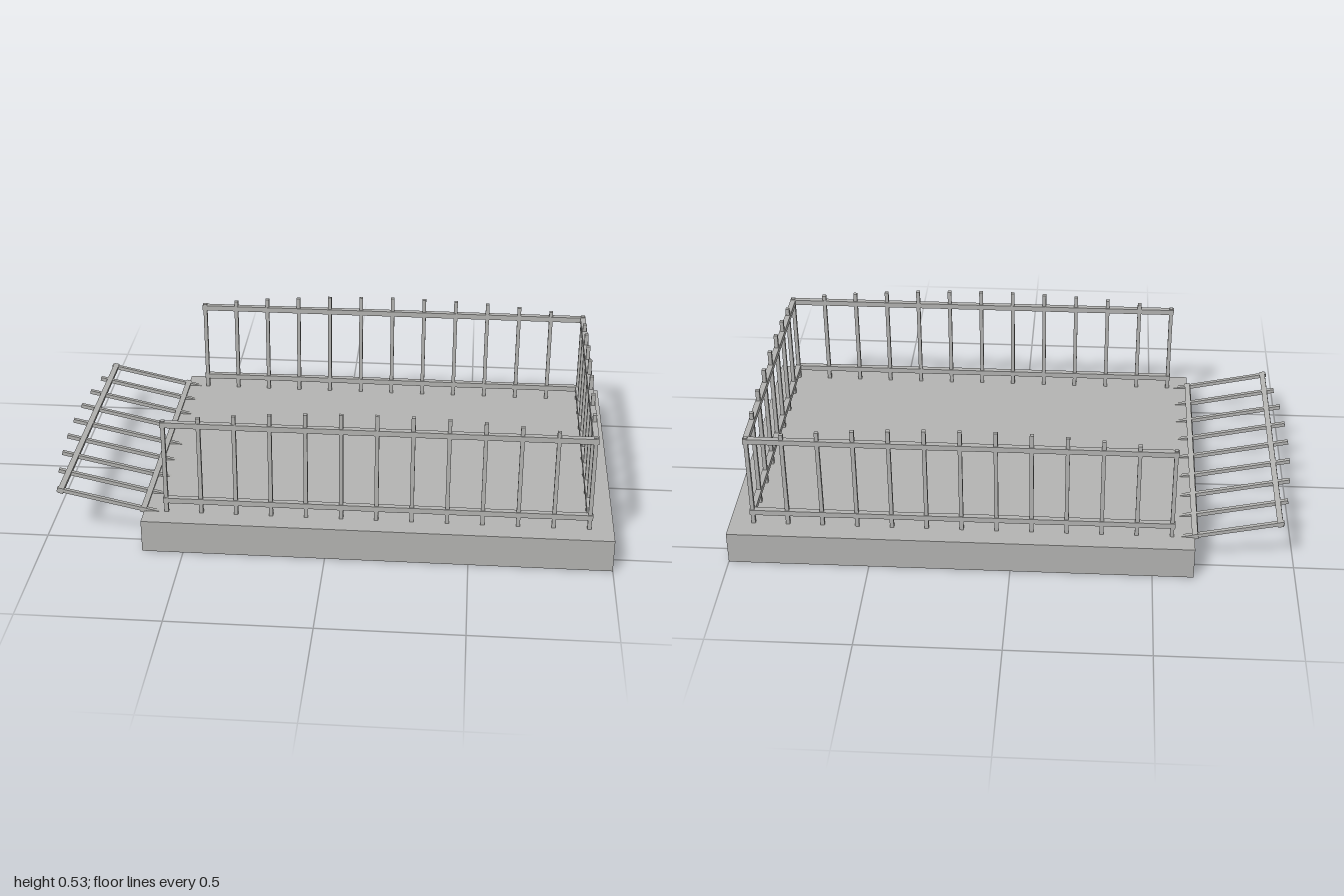
import * as THREE from 'three';

const concrete = new THREE.MeshStandardMaterial({ color: 0xb4b4b2, side: THREE.DoubleSide });
concrete.name = 'light grey';

const DECK = 0.12;     // height of the deck
const BAR = 0.014;     // bar thickness
const RAIL = 0.02;     // rail thickness

function box(name, w, h, d, x, y, z) {
  const mesh = new THREE.Mesh(new THREE.BoxGeometry(w, h, d), concrete);
  mesh.name = name;
  mesh.position.set(x, y, z);
  return mesh;
}

// Thin box shell standing on y = 0 with its underside left open
function openShell(name, w, h, d) {
  const mesh = box(name, w, h, d, 0.1775, h / 2, 0);
  const g = mesh.geometry;
  const index = Array.from(g.index.array);
  index.splice(18, 6); // drop the bottom face
  g.setIndex(index);
  g.clearGroups();
  return mesh;
}

// Fence panel in the local xy plane: two rails and bars whose tops follow an arc
function fencePanel(name, width, bars, skipFirst, skipLast) {
  const panel = new THREE.Group();
  panel.name = name;
  for (let i = skipFirst ? 1 : 0; i < bars - (skipLast ? 1 : 0); i++) {
    const u = (2 * i) / (bars - 1) - 1;
    const top = 0.36 + 0.05 * (1 - u * u);
    const bottom = -0.025;
    panel.add(box('bar', BAR, top - bottom, BAR, (u * width) / 2, (top + bottom) / 2, 0));
  }
  for (const [label, y] of [['lowerRail', 0.047], ['upperRail', 0.346]]) {
    panel.add(box(label, width + RAIL, RAIL, RAIL, 0, y, 0));
  }
  return panel;
}

export function createModel() {
  const model = new THREE.Group();
  model.name = 'fencedPlatform';

  // Hollow base: outer shell and recessed inner shell
  model.add(openShell('baseOuter', 1.645, DECK, 1.15));
  model.add(openShell('baseInner', 1.465, 0.1, 0.97));

  // Long fences along both sides
  for (const s of [1, -1]) {
    const side = fencePanel(s > 0 ? 'frontFence' : 'backFence', 1.48, 13, false, false);
    side.position.set(0.175, DECK, s * 0.495);
    model.add(side);
  }

  // Short fence at the +x end, sharing the corner bars
  const end = fencePanel('endFence', 0.99, 9, true, true);
  end.rotation.y = Math.PI / 2;
  end.position.set(0.915, DECK, 0);
  model.add(end);

  // Fallen fence leaning outward over the -x end
  const fallen = fencePanel('fallenFence', 0.99, 9, false, false);
  const tilt = THREE.MathUtils.degToRad(12.3);
  fallen.matrixAutoUpdate = true;
  fallen.quaternion.setFromRotationMatrix(new THREE.Matrix4().makeBasis(
    new THREE.Vector3(0, 0, 1),
    new THREE.Vector3(-Math.cos(tilt), Math.sin(tilt), 0),
    new THREE.Vector3(-Math.sin(tilt), -Math.cos(tilt), 0)
  ));
  fallen.position.set(-0.601, 0.115, 0);
  model.add(fallen);

  return model;
}
